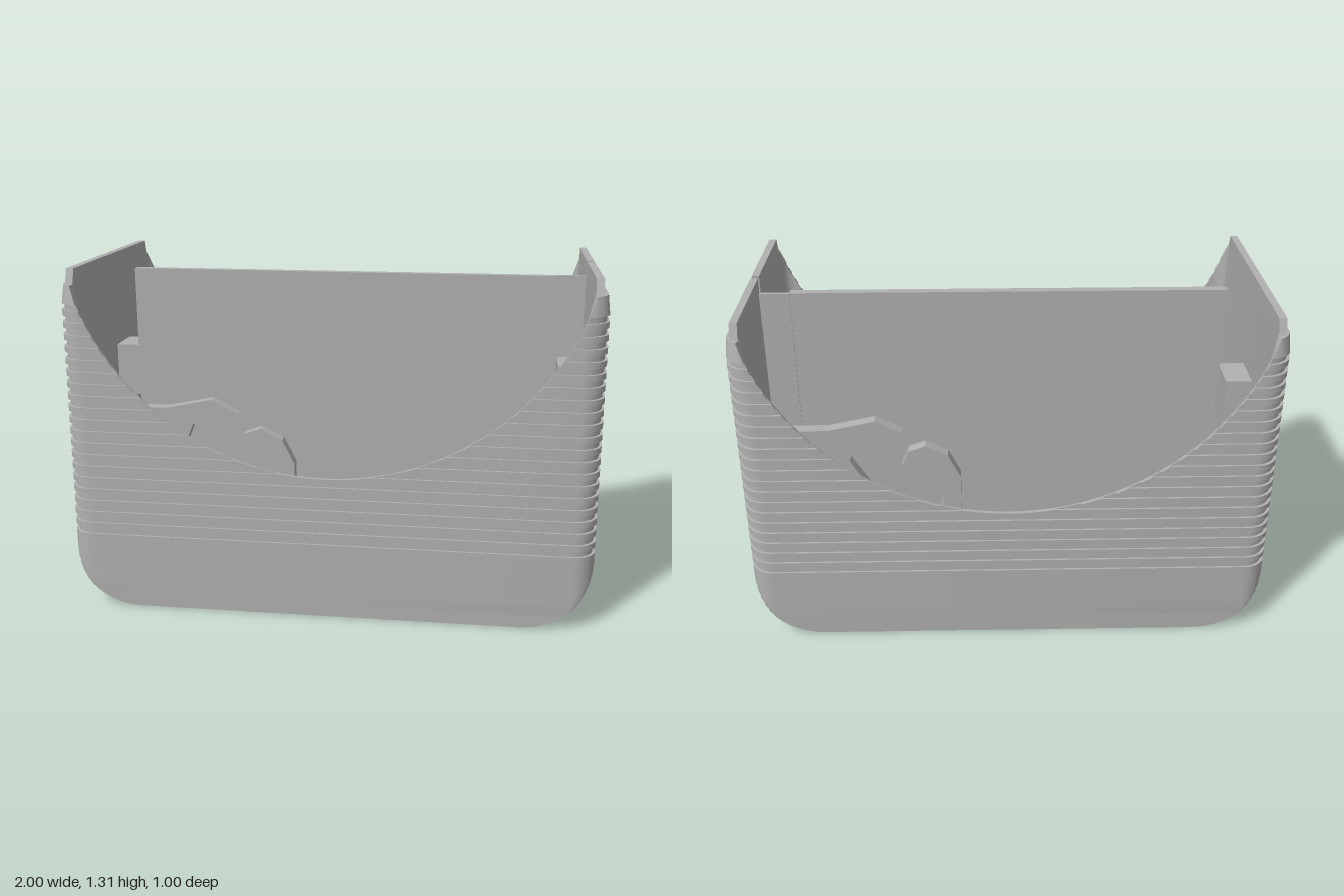
import * as THREE from 'three';
import { toCreasedNormals } from 'three/addons/utils/BufferGeometryUtils.js';

const R = 0.993, CY = 1.543;            // scallop circle
const SEAM = -0.008;                    // z of the seam groove
const FLOOR = 0.03, BEND = 0.27, FLAT = 0.73;
const MIDS = [0.04, 0.04, SEAM + 0.004, SEAM + 0.004, SEAM - 0.004, SEAM - 0.004, -0.04, -0.04];
const ARC = 8;

const scallop = y => (y > CY - R ? Math.sqrt(R * R - (CY - y) ** 2) : 0);
const outerLimit = y => (y < BEND ? FLAT + Math.sqrt(BEND ** 2 - (BEND - y) ** 2) : 2);
const innerLimit = y => (y <= FLOOR ? FLAT : y < BEND
  ? FLAT + 0.215 * Math.sqrt(1 - ((BEND - y) / 0.24) ** 2) : 2);

// Half outline, running from the front scallop edge round the side to the back one
function outline(X, Z, r, y, limit, mids) {
  const s = Math.min(scallop(y), X - 0.003);
  const zAt = x => (x < X - r ? Z : Z - r + Math.sqrt(Math.max(0, r * r - (x - X + r) ** 2)));
  const front = [[Math.min(s, limit), zAt(s)]];
  for (let i = 0; i <= ARC; i++) {
    const t = (i / ARC) * Math.PI / 2;
    const x = X - r + r * Math.sin(t);
    front.push(x < s ? [s, zAt(s)] : [Math.min(x, limit), Z - r + r * Math.cos(t)]);
  }
  const back = front.map(([x, z]) => [x, -z]).reverse();
  return [...front, ...mids, ...back];
}

function section(y, inset, win) {
  const X = 1 - inset, xo = Math.min(X, outerLimit(y)), xi = Math.min(0.945, innerLimit(y));
  const e = win ? xi : xo;
  const g = win ? xi : y < 0.95 ? xo - 0.01 : xo;
  const xs = [xo, e, e, g, g, e, e, xo];
  return {
    y, win,
    outer: outline(X, 0.5 - inset, 0.085, y, outerLimit(y), MIDS.map((z, i) => [xs[i], z])),
    inner: outline(0.945, 0.485, 0.05, y, innerLimit(y), MIDS.map(z => [xi, z])),
  };
}

// One half of the ribbed shell, lofted through horizontal sections
function shellHalf(sign) {
  const ribTop = 1.18, ribBase = 0.29, ribs = 39, pitch = (ribTop - ribBase) / ribs;
  const ys = [0, FLOOR, 0.035, 0.17, 0.95, 1.25];
  for (let i = 1; i <= 14; i++) ys.push(BEND * (1 - Math.cos((i / 14) * Math.PI / 2)));
  for (let i = 0; i <= ribs; i++) ys.push(ribBase + i * pitch);
  for (let x = 0; x < 0.945; x += 0.04) ys.push(CY - Math.sqrt(R * R - x * x));
  ys.sort((a, b) => a - b);

  const levels = [];
  for (let i = 0; i + 1 < ys.length; i++) {
    const a = ys[i], b = ys[i + 1], m = (a + b) / 2;
    if (b - a < 1e-5) continue;
    const rib = m > ribBase && m < ribTop && Math.floor((m - ribBase) / pitch) % 2 === 0 ? 0.008 : 0;
    const win = sign > 0 && m > 0.035 && m < 0.17;
    for (const y of [a, b]) levels.push(section(y, y > ribTop && m > ribTop ? (y - ribTop) / 0.07 * 0.008 : rib, win));
  }

  const pos = [];
  const va = new THREE.Vector3(), vb = new THREE.Vector3();
  const tri = (a, b, c) => {
    va.subVectors(b, a); vb.subVectors(c, a);
    if (va.cross(vb).length() < 1e-9) return;
    for (const p of sign > 0 ? [a, b, c] : [a, c, b]) pos.push(p.x * sign, p.y, p.z);
  };
  const quad = (a, b, c, d) => { tri(a, b, c); tri(a, c, d); };
  const at = (l, ring, i) => new THREE.Vector3(l[ring][i][0], l.y, l[ring][i][1]);
  const n = levels[0].outer.length, m0 = ARC + 2;
  for (let k = 0; k + 1 < levels.length; k++) {
    const a = levels[k], b = levels[k + 1];
    for (let i = 0; i + 1 < n; i++) {
      if (a.win && b.win && i >= m0 + 1 && i < m0 + 6) continue;   // cable window
      quad(at(a, 'outer', i), at(a, 'outer', i + 1), at(b, 'outer', i + 1), at(b, 'outer', i));
      quad(at(a, 'inner', i + 1), at(a, 'inner', i), at(b, 'inner', i), at(b, 'inner', i + 1));
    }
    quad(at(a, 'inner', 0), at(a, 'outer', 0), at(b, 'outer', 0), at(b, 'inner', 0));
    quad(at(a, 'outer', n - 1), at(a, 'inner', n - 1), at(b, 'inner', n - 1), at(b, 'outer', n - 1));
  }
  // rim and underside
  const top = levels[levels.length - 1], low = levels[0];
  for (let i = 0; i + 1 < n; i++) {
    quad(at(top, 'outer', i), at(top, 'outer', i + 1), at(top, 'inner', i + 1), at(top, 'inner', i));
    quad(at(low, 'outer', i + 1), at(low, 'outer', i), at(low, 'inner', i), at(low, 'inner', i + 1));
  }
  const geo = new THREE.BufferGeometry();
  geo.setAttribute('position', new THREE.Float32BufferAttribute(pos, 3));
  return toCreasedNormals(geo, 0.45);
}

const shapeOf = pts => new THREE.Shape(pts.map(([x, y]) => new THREE.Vector2(x, y)));
const extrude = (shape, depth) => new THREE.ExtrudeGeometry(shape, { depth, bevelEnabled: false, curveSegments: 24 });

export function createModel() {
  const group = new THREE.Group();
  const grey = new THREE.MeshStandardMaterial({ color: 0xb0b0b0 });
  grey.name = 'grey plastic';
  const add = (name, geo) => {
    const mesh = new THREE.Mesh(geo, grey);
    mesh.name = name;
    group.add(mesh);
    return mesh;
  };
  const box = (name, x0, x1, y0, y1, z0, z1) =>
    add(name, new THREE.BoxGeometry(x1 - x0, y1 - y0, z1 - z0))
      .position.set((x0 + x1) / 2, (y0 + y1) / 2, (z0 + z1) / 2);

  add('leftShell', shellHalf(1));
  add('rightShell', shellHalf(-1));

  // Floor in two halves with a round opening and one slot each
  for (const f of [1, -1]) {
    const pts = [[-FLAT, -f * 0.004 - SEAM]];
    for (let i = 0; i <= 32; i++) {
      const t = Math.PI * (1 - i / 32);
      pts.push([0.21 * Math.cos(t), -f * Math.max(0.004, 0.21 * Math.sin(t)) - SEAM]);
    }
    pts.push([FLAT, -f * 0.004 - SEAM], [FLAT, -f * 0.485], [-FLAT, -f * 0.485]);
    const shape = shapeOf(pts);
    const [z0, z1] = [-f * 0.08 - SEAM, -f * 0.471 - SEAM];
    shape.holes.push(shapeOf([[f * 0.575, z0], [f * 0.705, z0], [f * 0.705, z1], [f * 0.575, z1]]));
    add(f > 0 ? 'frontFloor' : 'backFloor', extrude(shape, FLOOR).rotateX(-Math.PI / 2));
  }

  // Rim lips on the two side walls, the left one with a cable gap
  const lip = (name, x, za, zb, ta, tb) => {
    const geo = extrude(shapeOf([[-za, 1.245], [-zb, 1.245], [-tb, 1.307], [-ta, 1.307]]), 0.028);
    add(name, geo.rotateY(Math.PI / 2)).position.x = x;
  };
  lip('rightLip', -0.973, -0.457, 0.457, -0.435, 0.435);
  lip('leftLipFront', 0.945, 0.014, 0.457, 0.014, 0.435);
  lip('leftLipBack', 0.945, -0.457, -0.012, -0.435, -0.012);

  // Central divider with a thin tongue reaching the left wall
  box('divider', -0.85, 0.83, 0.03, 1.25, -0.022, 0.012);
  box('dividerTongue', 0.83, 0.95, 0.2, 1.25, -0.027, -0.012);

  // Wall blocks and corner blocks
  box('rightWallBlock', -0.95, -0.845, 0.72, 0.93, -0.17, -0.004);
  box('leftWallBlock', 0.845, 0.95, 0.72, 0.93, -0.004, 0.165);
  box('rightCornerBlock', -0.875, -0.725, 0.03, 0.3, -0.487, -0.32);
  box('leftCornerBlock', 0.725, 0.875, 0.03, 0.3, 0.308, 0.487);

  // Hooked lever arms, one on each side of the divider
  const lever = shapeOf([
    [-0.945, 0.69], [-0.72, 0.69], [-0.53, 0.73], [-0.42, 0.675], [-0.5, 0.615], [-0.61, 0.625],
    [-0.64, 0.55], [-0.45, 0.24], [-0.36, 0.2], [-0.29, 0.26], [-0.26, 0.36], [-0.28, 0.48],
    [-0.34, 0.53], [-0.39, 0.49], [-0.43, 0.52], [-0.4, 0.59], [-0.33, 0.615], [-0.24, 0.57],
    [-0.19, 0.47], [-0.19, 0.3], [-0.25, 0.17], [-0.36, 0.1], [-0.5, 0.16], [-0.74, 0.54], [-0.9, 0.6],
  ]);
  const pin = new THREE.Path();
  pin.absarc(-0.74, 0.615, 0.025, 0, Math.PI * 2, true);
  lever.holes.push(pin);
  const leverGeo = extrude(lever, 0.05);
  add('frontLever', leverGeo).position.z = 0.038;
  const backLever = add('backLever', leverGeo);
  backLever.rotation.y = Math.PI;
  backLever.position.z = -0.047;

  return group;
}
